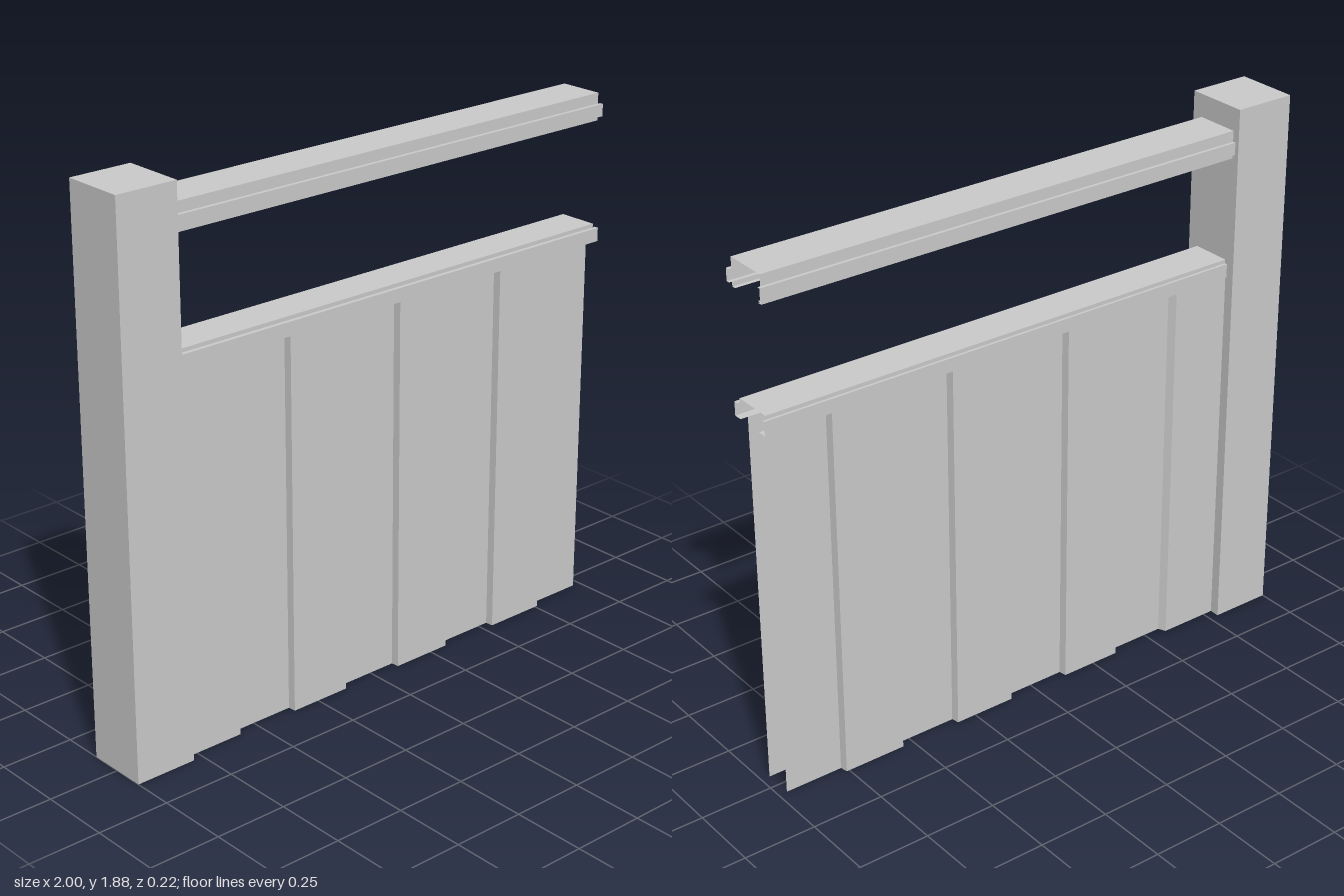
import * as THREE from 'three';

const material = new THREE.MeshStandardMaterial({
  color: 0xcccccc, flatShading: true, side: THREE.DoubleSide,
});

// Thin folded sheet: sweeps a 2D profile from a to b; place(u, v, w) gives [x, y, z]
function foldedSheet(name, profile, a, b, place) {
  const pos = [];
  for (let i = 0; i + 1 < profile.length; i++) {
    const [p, q] = [profile[i], profile[i + 1]];
    const c = [place(...p, a), place(...q, a), place(...q, b), place(...p, b)];
    for (const k of [0, 1, 2, 0, 2, 3]) pos.push(...c[k]);
  }
  const geo = new THREE.BufferGeometry();
  geo.setAttribute('position', new THREE.Float32BufferAttribute(pos, 3));
  geo.computeVertexNormals();
  const mesh = new THREE.Mesh(geo, material);
  mesh.name = name;
  return mesh;
}

const alongX = (z, y, x) => [x, y, z];
const alongY = (x, z, y) => [x, y, z];

// Hollow post, capped on top and open underneath
function makePost() {
  const post = new THREE.Group();
  post.name = 'post';
  const [x0, x1, d, h] = [-1, -0.785, 0.109, 1.885];
  const ring = [[x0, d], [x1, d], [x1, -d], [x0, -d], [x0, d]];
  post.add(foldedSheet('postWalls', ring, 0, h, alongY));
  post.add(foldedSheet('postCap', [[d, h], [-d, h]], x0, x1, alongX));
  return post;
}

// Rail: folded top channel with a projecting lip along each side
function makeRail(name, { top, ledge, lipBottom, foot, inner, outer, turn }) {
  const rail = new THREE.Group();
  rail.name = name;
  const x0 = -0.785;
  const channel = [[inner[0], ledge], [inner[0], top], [inner[1], top], [inner[1], ledge]];
  rail.add(foldedSheet('railChannel', channel, x0, 0.985, alongX));
  for (const s of [0, 1]) {
    const lip = [[inner[s], ledge], [outer[s], ledge], [outer[s], lipBottom], [turn[s], lipBottom]];
    rail.add(foldedSheet('railLip', lip, x0, 0.995, alongX));
    if (foot < lipBottom) {
      const hem = [[turn[s], lipBottom], [turn[s], foot], [turn[s] * 0.8, foot]];
      rail.add(foldedSheet('railHem', hem, x0, 0.985, alongX));
    }
  }
  return rail;
}

// Corrugated panel: four wide ribs, each followed by a recess
function makePanel(name, ribZ, recessZ) {
  const profile = [];
  const starts = [-0.785, -0.35, 0.1, 0.54];
  const ends = [-0.575, -0.13, 0.32, 0.76];
  starts.forEach((x, i) => {
    if (i) profile.push([x - 0.002, recessZ]);
    profile.push([x, ribZ], [ends[i], ribZ], [ends[i] + (i ? 0.005 : 0.012), recessZ]);
  });
  profile.push([0.97, recessZ]);
  return foldedSheet(name, profile, 0, 1.295, alongY);
}

export function createModel() {
  const model = new THREE.Group();
  model.name = 'fenceSection';
  model.add(
    makePost(),
    makeRail('upperRail', {
      top: 1.807, ledge: 1.77, lipBottom: 1.728, foot: 1.713,
      inner: [0.07, -0.083], outer: [0.083, -0.094], turn: [0.07, -0.083],
    }),
    makeRail('lowerRail', {
      top: 1.355, ledge: 1.342, lipBottom: 1.295, foot: 1.295,
      inner: [0.068, -0.07], outer: [0.082, -0.079], turn: [0.053, -0.048],
    }),
    makePanel('frontPanel', 0.08, 0.053),
    makePanel('backPanel', -0.074, -0.048),
  );
  return model;
}
